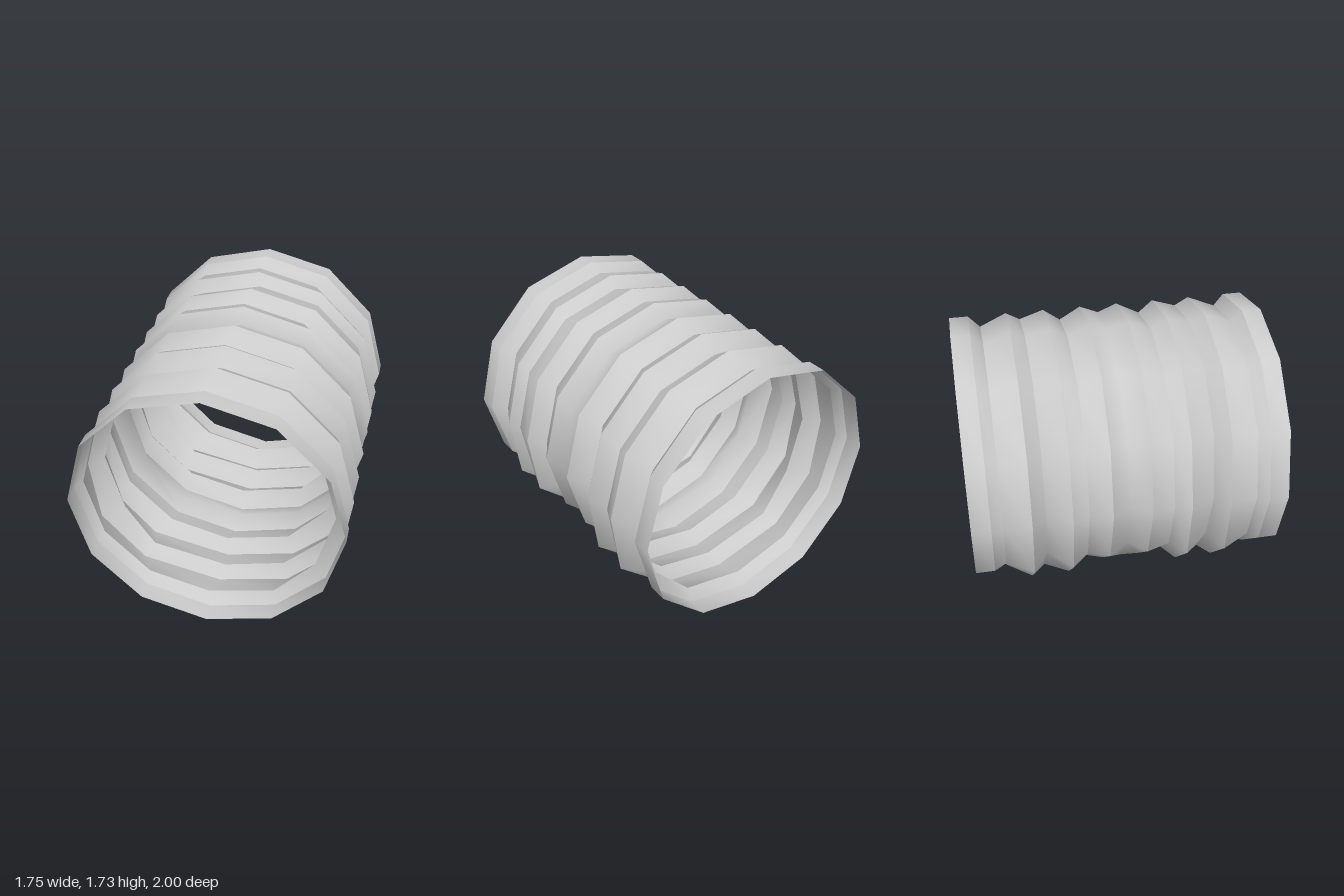
import * as THREE from 'three';

const SIDES = 12, PEAK = 0.873, VALLEY = 0.813, CENTRE_Y = 0.866;

// Rings of the front half: [z, radius, sideways shift, sag of the four low corners (index: outward x)]
const HALF = [
  [0, VALLEY, 0.025, { 8: -0.1 }],
  [0.125, PEAK, 0, {}],
  [0.27, VALLEY, -0.028, { 10: 0.035 }],
  [0.375, PEAK, 0, { 7: -0.06, 8: -0.09, 10: 0.035, 11: 0.06 }],
  [0.535, VALLEY, 0.025, { 8: -0.1 }],
  [0.627, PEAK, 0, { 7: -0.06, 8: -0.09, 10: 0.035, 11: 0.06 }],
  [0.803, VALLEY, -0.028, { 10: 0.035 }],
  [0.877, PEAK, 0, {}],
  [1, PEAK, 0, {}],
];

// The back half mirrors the front half
const RINGS = [...HALF.slice(1).reverse().map(([z, ...rest]) => [-z, ...rest]), ...HALF];

// Corners of one twelve-sided ring, slightly flattened at the top and bottom
function ringPoints([z, radius, shift, sag]) {
  const points = [];
  for (let i = 0; i < SIDES; i++) {
    const a = (i / SIDES) * Math.PI * 2;
    const r = i % 6 === 3 ? radius - 0.007 : radius;
    points.push(Math.cos(a) * r + shift + (sag[i] ?? 0), CENTRE_Y + Math.sin(a) * r, z);
  }
  return points;
}

// Loft a few neighbouring rings into a band that is smooth within itself
function bandGeometry(rings) {
  const indices = [];
  for (let r = 0; r < rings.length - 1; r++) {
    for (let i = 0; i < SIDES; i++) {
      const p = r * SIDES + i, q = r * SIDES + ((i + 1) % SIDES);
      indices.push(p, q, q + SIDES, p, q + SIDES, p + SIDES);
    }
  }
  const geometry = new THREE.BufferGeometry();
  geometry.setAttribute('position', new THREE.Float32BufferAttribute(rings.flatMap(ringPoints), 3));
  geometry.setIndex(indices);
  geometry.computeVertexNormals();
  return geometry;
}

export function createModel() {
  const group = new THREE.Group();
  group.name = 'corrugatedPipe';
  const material = new THREE.MeshStandardMaterial({ color: 0xcccccc, side: THREE.DoubleSide });

  // Creases at every ring except the middle groove, which blends softly
  const middle = HALF.length - 1;
  for (let r = 0; r < RINGS.length - 1;) {
    const end = r === middle - 1 ? r + 2 : r + 1;
    const band = new THREE.Mesh(bandGeometry(RINGS.slice(r, end + 1)), material);
    band.name = end - r === 2 ? 'middleGroove' : 'pipeBand';
    group.add(band);
    r = end;
  }
  return group;
}
